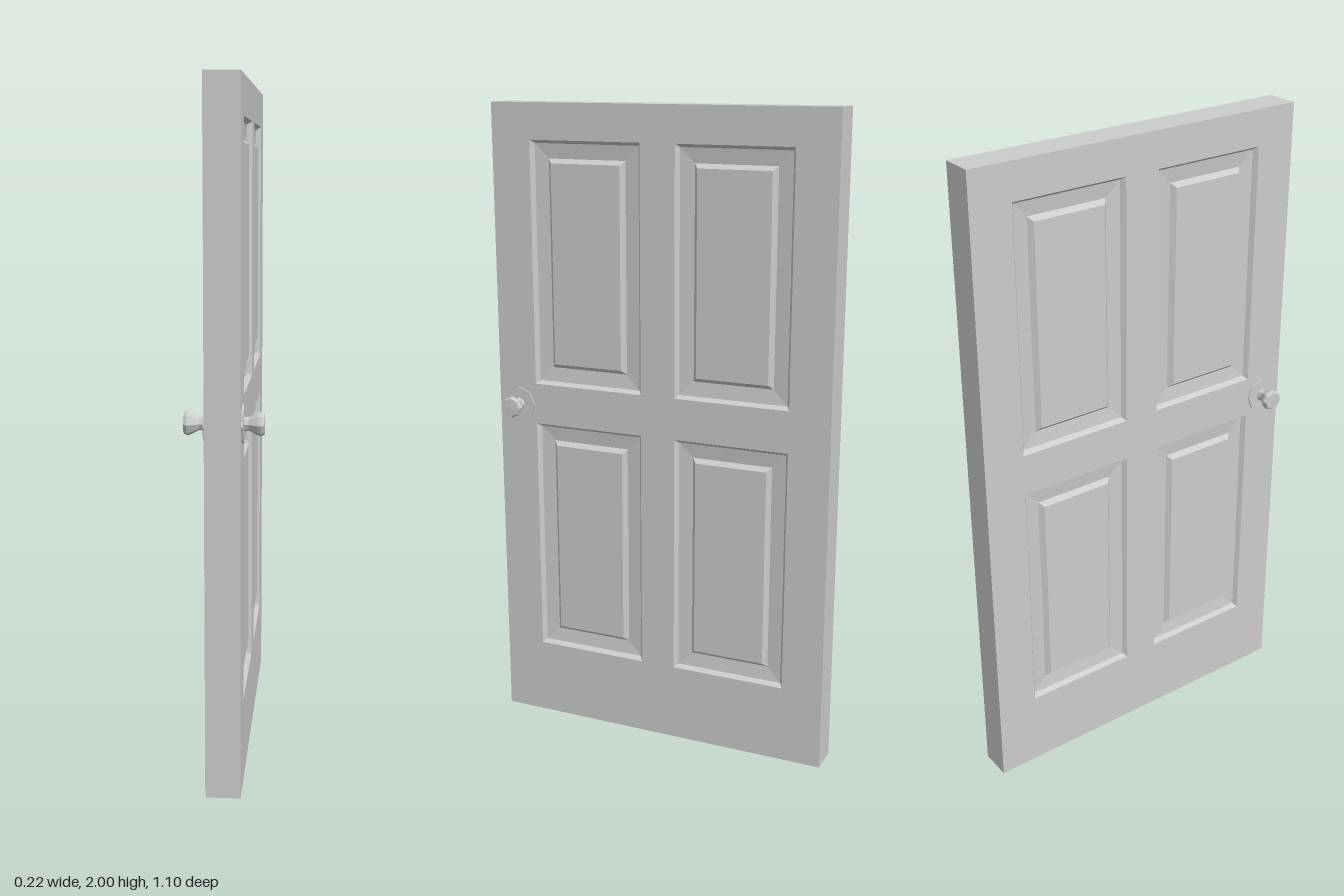
import * as THREE from 'three';

const WIDTH = 1.1, HEIGHT = 2, HALF = 0.05;
const grey = new THREE.MeshStandardMaterial({ color: 0xcccccc, flatShading: true });

// Panel openings: [centre across, bottom, top], all PANEL_W wide
const PANEL_W = 0.365;
const panels = [];
for (const x of [-0.2385, 0.2385]) panels.push([x, 0.245, 1.005], [x, 1.135, 1.89]);

// Moulding section: [inset from the opening, depth below the door face]
const moulding = [[0, 0], [0.01, 0.015], [0.055, 0.02], [0.068, 0.005]];

function mesh(name, geometry, parent) {
  const m = new THREE.Mesh(geometry, grey);
  m.name = name;
  parent.add(m);
  return m;
}

function rect(PathType, x0, y0, x1, y1) {
  return new PathType([[x0, y0], [x1, y0], [x1, y1], [x0, y1]].map(p => new THREE.Vector2(...p)));
}

// Nested rectangles joined by sloping bands, closed by a flat raised field
function panelGeometry([cx, y0, y1]) {
  const positions = [], index = [];
  for (const [inset, depth] of moulding) {
    const w = PANEL_W / 2 - inset, z = HALF - depth;
    positions.push(cx - w, y0 + inset, z, cx + w, y0 + inset, z,
      cx + w, y1 - inset, z, cx - w, y1 - inset, z);
  }
  for (let r = 0; r < moulding.length - 1; r++) {
    for (let i = 0; i < 4; i++) {
      const a = r * 4 + i, b = r * 4 + (i + 1) % 4;
      index.push(a, b, b + 4, a, b + 4, a + 4);
    }
  }
  const f = (moulding.length - 1) * 4;
  index.push(f, f + 1, f + 2, f, f + 2, f + 3);
  const g = new THREE.BufferGeometry();
  g.setAttribute('position', new THREE.Float32BufferAttribute(positions, 3));
  g.setIndex(index);
  const flat = g.toNonIndexed();
  flat.computeVertexNormals();
  return flat;
}

// Eight-sided turning whose axis points out of the door
function turned(profile) {
  const g = new THREE.LatheGeometry(profile.map(p => new THREE.Vector2(...p)), 8);
  return g.rotateX(Math.PI / 2);
}

export function createModel() {
  const door = new THREE.Group();
  door.name = 'door';

  // Stiles and rails in one slab with four openings
  const outline = rect(THREE.Shape, -WIDTH / 2, 0, WIDTH / 2, HEIGHT);
  for (const [cx, y0, y1] of panels) {
    outline.holes.push(rect(THREE.Path, cx - PANEL_W / 2, y0, cx + PANEL_W / 2, y1));
  }
  const slab = new THREE.ExtrudeGeometry(outline, { depth: HALF * 2, bevelEnabled: false });
  slab.translate(0, 0, -HALF).rotateY(Math.PI / 2);
  mesh('doorFrame', slab, door);

  // Both faces carry the same panels and knob
  for (const side of [1, -1]) {
    const face = new THREE.Group();
    face.name = side > 0 ? 'leftFace' : 'rightFace';
    face.rotation.y = side * Math.PI / 2;
    door.add(face);

    for (const p of panels) mesh('raisedPanel', panelGeometry(p), face);

    const handle = new THREE.Group();
    handle.name = 'doorHandle';
    handle.position.set(-0.48 * side, 1.065, HALF);
    face.add(handle);
    mesh('rosePlate', turned([[0.055, 0], [0.055, 0.005], [0, 0.005]]), handle);
    mesh('knob', turned([[0.02, 0.004], [0.019, 0.018], [0.032, 0.043],
      [0.034, 0.052], [0.029, 0.061], [0, 0.062]]), handle);
  }
  return door;
}
